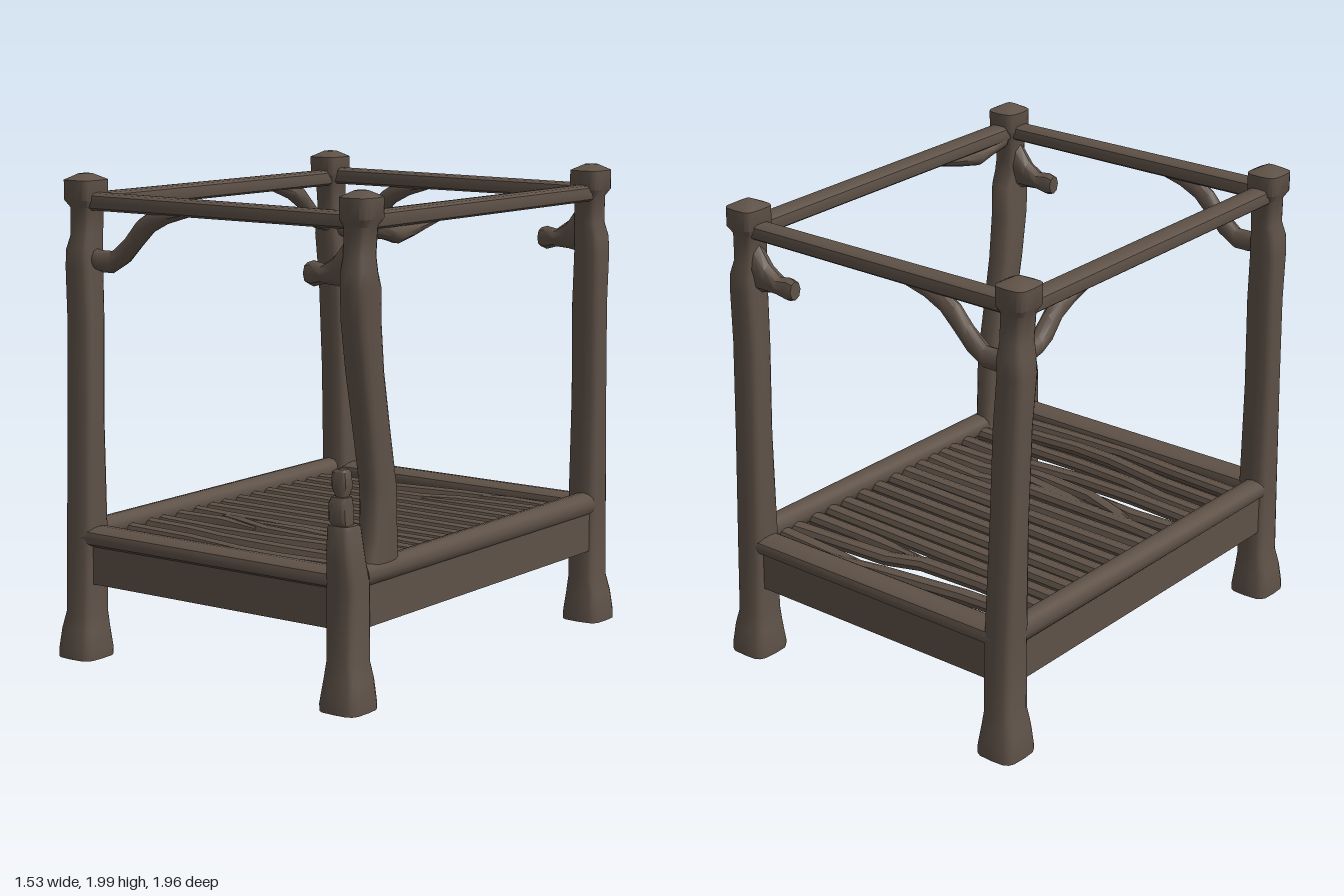
import * as THREE from 'three';
import { toCreasedNormals } from 'three/addons/utils/BufferGeometryUtils.js';

const wood = new THREE.MeshStandardMaterial({ color: 0x5e5147 });
wood.name = 'dark wood';

// Loft through rows [x, y, z, a, b]; rings lie across the main axis.
// a and b are the half sizes on the two cross axes, p below 1 squares the ring.
const CROSS = { x: ['y', 'z'], y: ['z', 'x'], z: ['x', 'y'] };
function limb(parent, name, axis, rows, p = 1, sides = 10) {
  const k = { x: 0, y: 1, z: 2 };
  const list = rows[0][k[axis]] > rows[rows.length - 1][k[axis]] ? [...rows].reverse() : rows;
  const [u, v] = CROSS[axis];
  const bend = (t) => Math.sign(t) * Math.pow(Math.abs(t), p);
  const pos = [], idx = [];
  for (const r of list) {
    for (let j = 0; j < sides; j++) {
      const t = (j / sides) * Math.PI * 2;
      const pt = [r[0], r[1], r[2]];
      pt[k[u]] += bend(Math.cos(t)) * r[3];
      pt[k[v]] += bend(Math.sin(t)) * r[4];
      pos.push(...pt);
    }
  }
  const n = list.length;
  for (let i = 0; i < n - 1; i++) {
    for (let j = 0; j < sides; j++) {
      const a = i * sides + j, b = i * sides + (j + 1) % sides;
      idx.push(a, b, b + sides, a, b + sides, a + sides);
    }
  }
  // end caps
  const c0 = n * sides, last = (n - 1) * sides;
  pos.push(...list[0].slice(0, 3), ...list[n - 1].slice(0, 3));
  for (let j = 0; j < sides; j++) {
    const q = (j + 1) % sides;
    idx.push(c0, q, j, c0 + 1, last + j, last + q);
  }
  const geo = new THREE.BufferGeometry();
  geo.setAttribute('position', new THREE.Float32BufferAttribute(pos, 3));
  geo.setIndex(idx);
  const mesh = new THREE.Mesh(toCreasedNormals(geo, 0.7), wood);
  mesh.name = name;
  parent.add(mesh);
}

// Post profile: [y, xInner, xOuter, zInner, zOuter]
const FOOT = [
  [0.01, 0.58, 0.765, 0.79, 0.98], [0.04, 0.578, 0.765, 0.79, 0.98], [0.13, 0.59, 0.755, 0.8, 0.965],
  [0.2, 0.6, 0.735, 0.805, 0.955], [0.5, 0.595, 0.735, 0.805, 0.945],
];
const SHAFT = [
  [1, 0.605, 0.74, 0.805, 0.92], [1.4, 0.61, 0.745, 0.79, 0.905], [1.62, 0.625, 0.755, 0.775, 0.9],
];
const CAP = [
  [1.69, 0.625, 0.75, 0.775, 0.9], [1.75, 0.63, 0.735, 0.77, 0.885], [1.86, 0.628, 0.74, 0.765, 0.88],
  [1.89, 0.615, 0.76, 0.745, 0.9], [1.97, 0.615, 0.76, 0.745, 0.9], [1.995, 0.665, 0.71, 0.8, 0.85],
];
const postRows = (prof, sx, sz) => prof.map(([y, x0, x1, z0, z1]) =>
  [sx * (x0 + x1) / 2, y, sz * (z0 + z1) / 2, (z1 - z0) / 2, (x1 - x0) / 2]);

function addPosts(g) {
  for (const [sx, sz] of [[-1, 1], [-1, -1], [1, -1]])
    limb(g, 'post', 'y', postRows([...FOOT, ...SHAFT, ...CAP], sx, sz), 0.5, 16);
  // broken corner: stump, loose chunks and a curved trunk holding the cap
  limb(g, 'brokenStump', 'y', [...postRows(FOOT, 1, 1),
    [0.665, 0.6, 0.89, 0.065, 0.062], [0.66, 0.72, 0.895, 0.055, 0.055], [0.66, 0.735, 0.9, 0.045, 0.05]], 0.5, 16);
  limb(g, 'stumpChunk', 'y', [[0.66, 0.73, 0.905, 0.03, 0.035], [0.655, 0.75, 0.905, 0.04, 0.042],
    [0.655, 0.82, 0.91, 0.04, 0.04], [0.66, 0.845, 0.91, 0.03, 0.034]], 0.5, 12);
  limb(g, 'stumpTip', 'y', [[0.66, 0.84, 0.905, 0.022, 0.02], [0.655, 0.88, 0.9, 0.032, 0.036],
    [0.655, 0.94, 0.905, 0.028, 0.033], [0.66, 0.95, 0.905, 0.02, 0.022]], 0.5, 12);
  limb(g, 'curvedTrunk', 'y', [[0.67, 0.5, 0.7, 0.105, 0.05], [0.67, 0.57, 0.695, 0.1, 0.05],
    [0.67, 0.66, 0.685, 0.08, 0.052], [0.67, 0.85, 0.69, 0.074, 0.055], [0.665, 1.05, 0.722, 0.07, 0.058],
    [0.665, 1.3, 0.77, 0.068, 0.062], [0.675, 1.5, 0.808, 0.075, 0.062],
    [0.685, 1.63, 0.825, 0.08, 0.06], ...postRows(CAP, 1, 1)], 0.6, 16);
}

function addRails(g) {
  for (const s of [-1, 1]) {
    const w = 0.65, d = 0.83;
    // canopy rails
    limb(g, 'canopyRail', 'x', [[-w, 1.885, s * 0.825, 0.038, 0.045], [w, 1.88, s * 0.825, 0.034, 0.045]], 0.6, 12);
    limb(g, 'canopySideRail', 'z', [[s * 0.685, 1.875, -d, 0.048, 0.036], [s * 0.685, 1.88, d, 0.048, 0.036]], 0.6, 12);
    // bed logs
    limb(g, 'bedLog', 'x', [[-w, 0.52, s * 0.875, 0.043, 0.068], [w, 0.518, s * 0.875, 0.04, 0.065]], 0.8, 12);
    limb(g, 'bedSideLog', 'z', [[s * 0.682, 0.53, -d, 0.05, 0.05], [s * 0.682, 0.525, d, 0.05, 0.045]], 0.8, 12);
    // bed boards
    const board = new THREE.Mesh(new THREE.BoxGeometry(1.3, 0.17, 0.08), wood);
    board.name = 'bedBoard';
    board.position.set(0, 0.41, s * 0.875);
    const side = new THREE.Mesh(new THREE.BoxGeometry(0.07, 0.17, 1.66), wood);
    side.name = 'bedSideBoard';
    side.position.set(s * 0.68, 0.41, 0);
    g.add(board, side);
  }
}

function addBraces(g) {
  for (const s of [-1, 1]) {
    // crooked braces under the front and back canopy rails
    const z = s * 0.83;
    limb(g, 'brace', 'x', [[-0.66, 1.66, z, 0.04, 0.035], [-0.6, 1.645, z, 0.045, 0.035], [-0.54, 1.645, z, 0.045, 0.035],
      [-0.46, 1.7, z, 0.055, 0.034], [-0.4, 1.765, z, 0.06, 0.033], [-0.33, 1.82, z, 0.045, 0.033],
      [-0.25, 1.845, z, 0.03, 0.03], [-0.15, 1.86, z, 0.015, 0.03]]);
    // snapped stubs on the opposite posts
    limb(g, 'brokenBranch', 'x', [[0.44, 1.67, z, 0.04, 0.03], [0.47, 1.67, z, 0.05, 0.035],
      [0.52, 1.672, z, 0.038, 0.038], [0.58, 1.69, z, 0.06, 0.04], [0.63, 1.72, z, 0.1, 0.045], [0.67, 1.75, z, 0.1, 0.04]], 1, 8);
  }
  limb(g, 'sideBrace', 'z', [[-0.68, 1.67, -0.8, 0.035, 0.04], [-0.68, 1.69, -0.71, 0.036, 0.04],
    [-0.68, 1.735, -0.65, 0.036, 0.06], [-0.68, 1.8, -0.59, 0.036, 0.05], [-0.68, 1.83, -0.51, 0.035, 0.032],
    [-0.68, 1.86, -0.38, 0.03, 0.015]]);
  limb(g, 'sideBrace', 'z', [[0.68, 1.86, 0.76, 0.04, 0.05], [0.68, 1.83, 0.66, 0.04, 0.035],
    [0.68, 1.815, 0.59, 0.04, 0.04], [0.68, 1.83, 0.48, 0.038, 0.032], [0.68, 1.86, 0.3, 0.03, 0.015]]);
}

// Each slat is a run of [x, z] points, thinning at forks
const L = -0.66, R = 0.66;
const SLATS = [
  [[L, -0.68], [-0.3, -0.7], [0.1, -0.755], [0.5, -0.81]],
  [[0.1, -0.76], [0.35, -0.76], [R, -0.74]],
  [[L, -0.59], [-0.3, -0.575], [0, -0.585], [0.15, -0.64], [R, -0.67]],
  [[-0.05, -0.575], [0.3, -0.56], [R, -0.555]],
  ...[[-0.49, -0.455], [-0.385, -0.36], [-0.29, -0.26], [-0.19, -0.155], [-0.09, -0.05], [0.02, 0.04], [0.11, 0.125]]
    .map(([a, b]) => [[L, a], [0, (a + b) / 2], [R, b]]),
  [[L, 0.2], [-0.45, 0.22], [0.1, 0.235], [0.35, 0.185], [R, 0.21]],
  [[-0.5, 0.22], [-0.35, 0.27], [-0.15, 0.34], [0.1, 0.36], [R, 0.35]],
  [[L, 0.32], [-0.4, 0.31], [-0.2, 0.35]],
  [[-0.3, 0.25], [0, 0.275], [0.2, 0.305], [0.4, 0.275], [R, 0.285]],
  [[L, 0.43], [-0.3, 0.455], [0, 0.455], [0.25, 0.43], [R, 0.45]],
  [[L, 0.51], [-0.4, 0.525], [-0.2, 0.56], [0.1, 0.575], [R, 0.57]],
  [[L, 0.63], [-0.3, 0.65], [0, 0.7], [0.2, 0.71], [R, 0.675]],
  [[L, 0.755], [-0.3, 0.775], [0, 0.8], [0.3, 0.79], [R, 0.77]],
];

function addSlats(g) {
  for (const run of SLATS)
    limb(g, 'slat', 'x', run.map(([x, z]) => {
      const tip = Math.abs(x) < 0.6 && (x === run[0][0] || x === run[run.length - 1][0]);
      return [x, 0.5, z, tip ? 0.018 : 0.03, tip ? 0.015 : 0.033];
    }), 0.9, 8);
}

export function createModel() {
  const group = new THREE.Group();
  group.name = 'canopyBedFrame';
  addPosts(group);
  addRails(group);
  addBraces(group);
  addSlats(group);
  return group;
}
